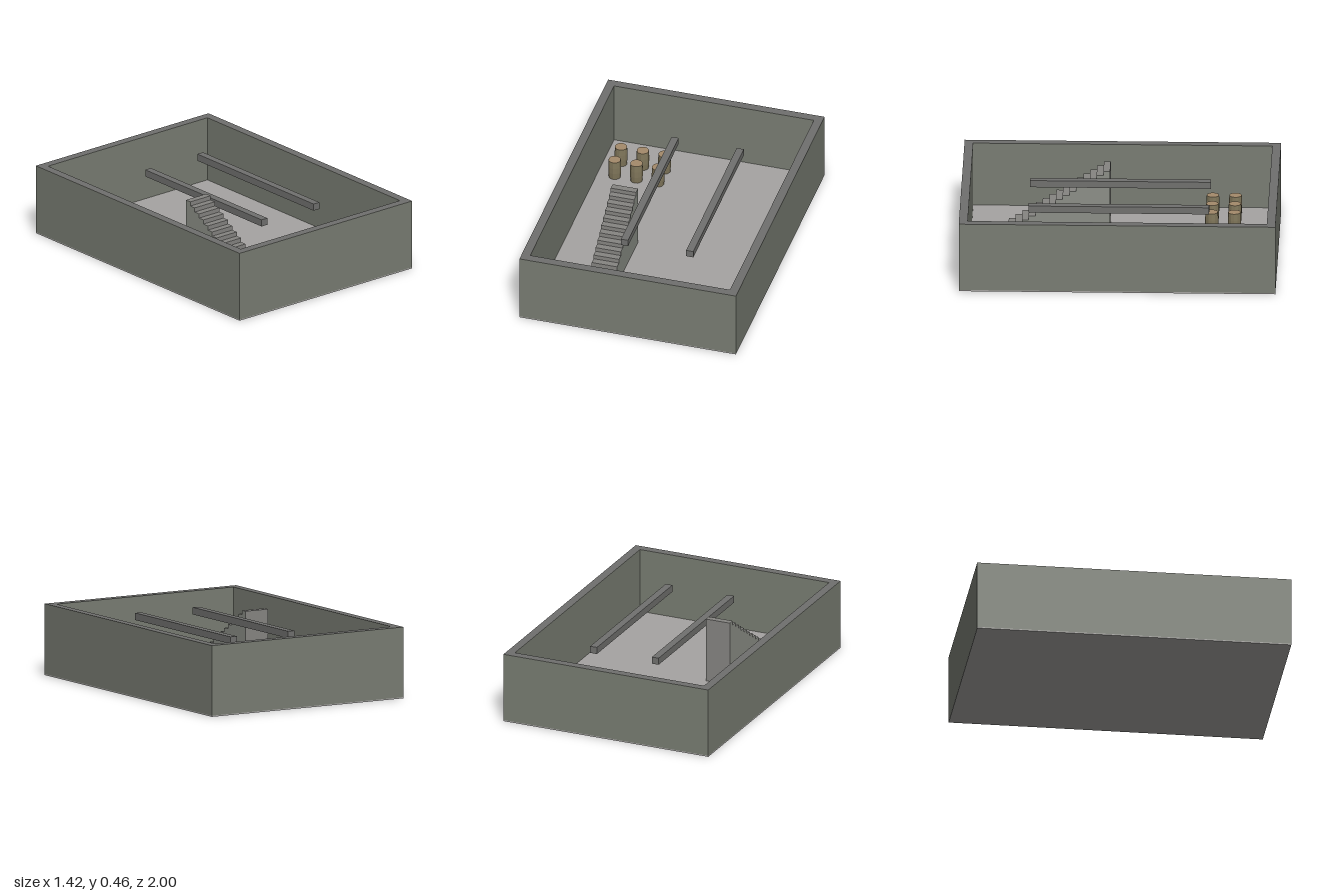
import * as THREE from 'three';

const W = 1.424, D = 2, H = 0.456, WALL = 0.055, BASE = 0.008, FLOOR = 0.035;

const paint = (color) => new THREE.MeshStandardMaterial({ color, flatShading: true });

export function createModel() {
  const model = new THREE.Group();
  model.name = 'cellar';
  const wallTop = paint(0x70706e), wallSide = paint(0x797d73), floorStone = paint(0xa6a4a2);
  const beamStone = paint(0x71716f), stairSide = paint(0x8c8f87), stairTread = paint(0x868582);
  const stave = paint(0x80765a), lid = paint(0xa58b6b);

  const add = (name, geometry, material, x = 0, y = 0, z = 0) => {
    const mesh = new THREE.Mesh(geometry, material);
    mesh.name = name;
    mesh.position.set(x, y, z);
    model.add(mesh);
  };
  const rect = (Type, w, d) => new Type([
    new THREE.Vector2(-w / 2, -d / 2), new THREE.Vector2(w / 2, -d / 2),
    new THREE.Vector2(w / 2, d / 2), new THREE.Vector2(-w / 2, d / 2),
  ]);

  // Outer walls: one rectangular frame, open at the top
  const innerW = W - 2 * WALL, innerD = D - 2 * WALL;
  const frame = rect(THREE.Shape, W, D);
  frame.holes.push(rect(THREE.Path, innerW, innerD));
  const walls = new THREE.ExtrudeGeometry(frame, { depth: H - BASE, bevelEnabled: false });
  walls.rotateX(-Math.PI / 2);
  add('walls', walls, [wallTop, wallSide], 0, BASE, 0);

  // Thin base under the walls, and the floor slab between them
  add('base', new THREE.BoxGeometry(W, BASE, D), floorStone, 0, BASE / 2, 0);
  add('floor', new THREE.BoxGeometry(innerW, FLOOR - BASE, innerD), floorStone, 0, (FLOOR + BASE) / 2, 0);

  // Two ceiling beams
  for (const x of [-0.146, 0.283]) {
    add('beam', new THREE.BoxGeometry(0.047, 0.045, 1.142), beamStone, x, 0.398, 0);
  }

  // Solid staircase rising towards the back, as an extruded side profile
  const steps = 15, front = 0.712, back = 0.068;
  const run = (front - back) / steps, rise = (H - FLOOR) / steps;
  const profile = new THREE.Shape();
  profile.moveTo(-front, FLOOR);
  for (let i = 0; i < steps; i++) {
    profile.lineTo(-front + i * run, FLOOR + (i + 1) * rise);
    profile.lineTo(-front + (i + 1) * run, FLOOR + (i + 1) * rise);
  }
  profile.lineTo(-back, FLOOR);
  profile.closePath();
  const stairs = new THREE.ExtrudeGeometry(profile, { depth: 0.167, bevelEnabled: false });
  stairs.rotateY(Math.PI / 2); // profile x becomes -z, depth becomes x
  add('stairs', stairs, [stairSide, stairTread], -0.371, 0, 0);

  // Six barrels in two rows: a bulging twelve-stave body and a lid
  const bodyProfile = [[0.038, 0], [0.042, 0.045], [0.042, 0.085], [0.039, 0.13]]
    .map(([r, y]) => new THREE.Vector2(r, y));
  const body = new THREE.LatheGeometry(bodyProfile, 12);
  const top = new THREE.CircleGeometry(0.039, 12);
  top.rotateX(-Math.PI / 2);
  for (const z of [-0.716, -0.573]) {
    for (const x of [-0.544, -0.401, -0.258]) {
      add('barrelBody', body, stave, x, FLOOR, z);
      add('barrelLid', top, lid, x, FLOOR + 0.13, z);
    }
  }

  return model;
}
